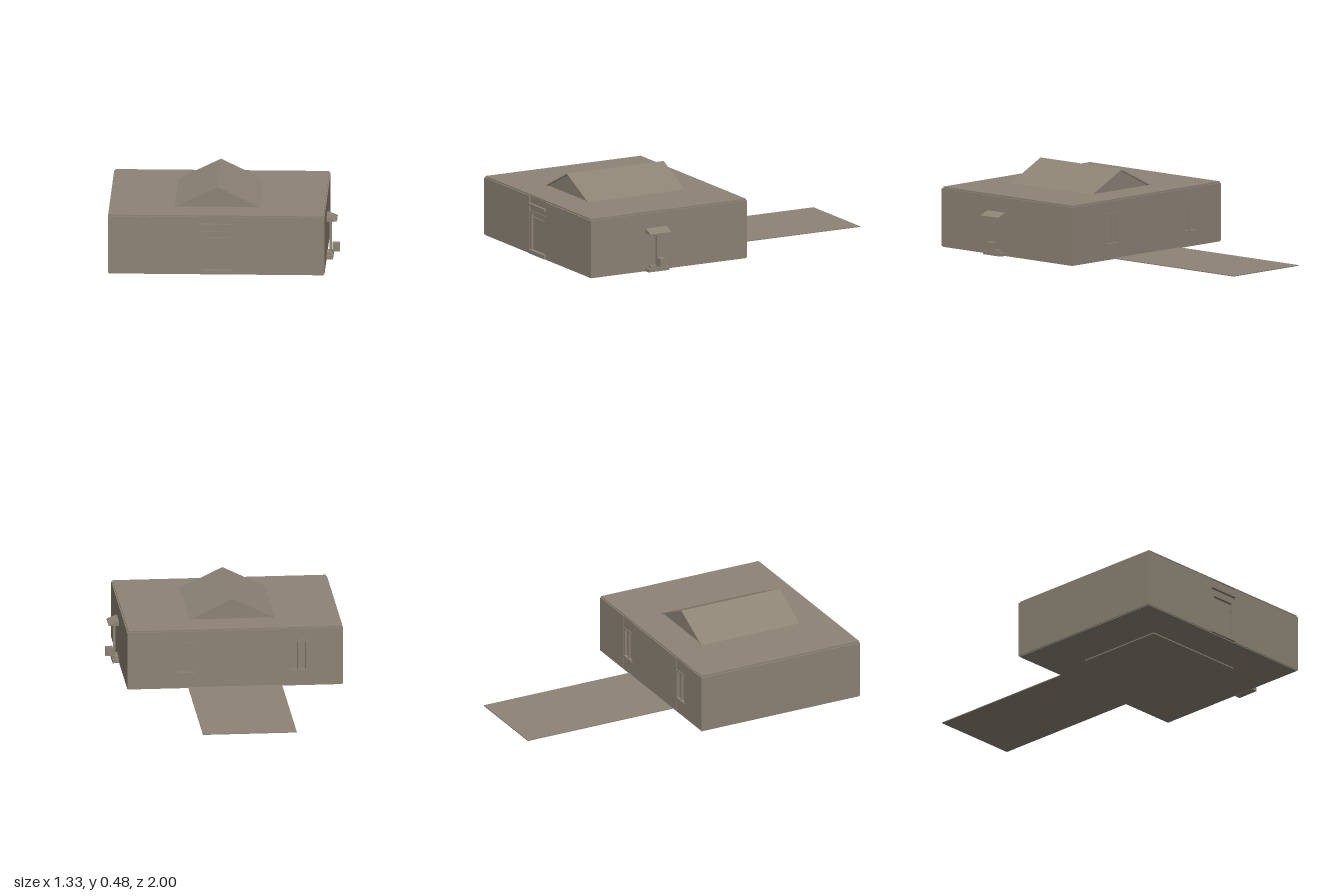
import * as THREE from 'three';

export function createModel() {
  const model = new THREE.Group();
  const stone = new THREE.MeshStandardMaterial({ color: 0x8d8375 });
  stone.name = 'warmGreyStone';
  const pathStone = stone;

  const add = (parent, name, geometry) => {
    const mesh = new THREE.Mesh(geometry, stone);
    mesh.name = name;
    parent.add(mesh);
    return mesh;
  };
  // Box given by its limits on each axis
  const box = (parent, name, x0, x1, y0, y1, z0, z1) => {
    const mesh = add(parent, name, new THREE.BoxGeometry(x1 - x0, y1 - y0, z1 - z0));
    mesh.position.set((x0 + x1) / 2, (y0 + y1) / 2, (z0 + z1) / 2);
    return mesh;
  };
  // Outline in x and y, extruded from z0 to z1
  const prism = (parent, name, points, z0, z1) => {
    const shape = new THREE.Shape(points.map(([x, y]) => new THREE.Vector2(x, y)));
    const mesh = add(parent, name, new THREE.ExtrudeGeometry(shape, { depth: z1 - z0, bevelEnabled: false }));
    mesh.position.z = z0;
    return mesh;
  };
  const group = (name) => {
    const g = new THREE.Group();
    g.name = name;
    model.add(g);
    return g;
  };

  // House body, with wall panels standing proud of the core
  const L = -0.665, R = 0.59, back = -0.05, front = 0.99, low = 0.012, high = 0.35;
  const house = group('house');
  box(house, 'wallCore', L, R, low, high, back + 0.015, front - 0.02);
  for (const [x0, x1] of [[L, -0.135], [0.06, R]])
    box(house, 'frontWall', x0, x1, low, high, front - 0.02, front);
  for (const [x0, x1] of [[L, -0.46], [-0.35, 0.19], [0.3, R]])
    box(house, 'backWall', x0, x1, low, high, back, back + 0.015);

  // Floor slabs under the house
  box(house, 'floor', L + 0.005, R - 0.005, 0.007, low, back + 0.005, front - 0.005);
  box(house, 'foundation', -0.37, 0.3, 0, 0.007, 0.2, 0.75);

  // Flat roof with a thin shadow gap below its rim
  box(house, 'roofGap', L + 0.01, R - 0.01, high, 0.354, back + 0.01, front - 0.01);
  box(house, 'roofSlab', L + 0.007, R - 0.006, 0.354, 0.36, back + 0.003, front - 0.004);

  // Gable on the roof
  const gable = group('gable');
  const peak = -0.038, west = -0.285, east = 0.21;
  prism(gable, 'gableCore', [[west + 0.015, 0.36], [east - 0.015, 0.36], [peak, 0.472]], 0.16, 0.785);
  for (const eave of [west, east]) {
    const inner = eave + Math.sign(peak - eave) * 0.014;
    prism(gable, 'gableSlope', [[eave, 0.36], [inner, 0.36], [peak, 0.472], [peak, 0.48]], 0.15, 0.795);
  }

  // Front entrance
  const entrance = group('entrance');
  box(entrance, 'doorStep', -0.133, 0.058, low, 0.035, front - 0.02, 1);
  for (const [x0, x1] of [[-0.133, -0.114], [0.039, 0.058]])
    box(entrance, 'doorJamb', x0, x1, 0.035, 0.25, front - 0.02, front - 0.002);
  box(entrance, 'doorHead', -0.133, 0.058, 0.25, 0.265, front - 0.02, front - 0.002);
  box(entrance, 'transom', -0.133, 0.058, 0.265, 0.293, front - 0.02, front - 0.008);
  box(entrance, 'lintel', -0.135, 0.06, 0.293, 0.31, front - 0.02, 1);
  box(entrance, 'wallOverDoor', -0.133, 0.058, 0.31, high, front - 0.02, front - 0.006);
  box(entrance, 'door', -0.104, 0.03, 0.036, 0.227, front - 0.02, front - 0.012);
  for (const y of [0.06, 0.2])
    box(entrance, 'doorHinge', 0.028, 0.037, y, y + 0.02, front - 0.02, front - 0.008);

  // Two windows in the back wall
  const windows = group('windows');
  for (const x of [-0.405, 0.245]) {
    const w = 0.055, z0 = back + 0.003, z1 = back + 0.015;
    box(windows, 'wallUnderWindow', x - w, x + w, low, 0.1, z0, z1);
    box(windows, 'wallOverWindow', x - w, x + w, 0.28, high, z0, z1);
    for (const s of [-1, 1])
      box(windows, 'windowSide', x + s * 0.0475 - 0.0075, x + s * 0.0475 + 0.0075, 0.1, 0.28, z0, z1);
    box(windows, 'windowSill', x - 0.05, x + 0.05, 0.094, 0.104, back - 0.004, z1);
    box(windows, 'windowMullion', x - 0.006, x + 0.006, 0.104, 0.28, z0, z1);
    box(windows, 'windowHead', x - 0.045, x + 0.045, 0.272, 0.282, back - 0.002, z1);
  }

  // Roofed post with a small box beside the wall
  const post = group('sidePost');
  box(post, 'postBase', R, 0.627, 0.008, 0.028, 0.487, 0.625);
  box(post, 'postPlinth', R, 0.62, 0.028, 0.04, 0.51, 0.605);
  box(post, 'postShaft', 0.604, 0.619, 0.04, 0.235, 0.549, 0.567);
  box(post, 'postCap', R, 0.627, 0.222, 0.234, 0.53, 0.585);
  prism(post, 'postRoof', [[R, 0.234], [0.65, 0.234], [0.65, 0.239], [R, 0.262]], 0.487, 0.625);
  box(post, 'postBox', 0.622, 0.665, 0.04, 0.09, 0.53, 0.568);

  // Long path leading away behind the house
  box(model, 'path', -0.31, 0.235, 0.009, 0.014, -1, back + 0.02).material = pathStone;

  return model;
}
